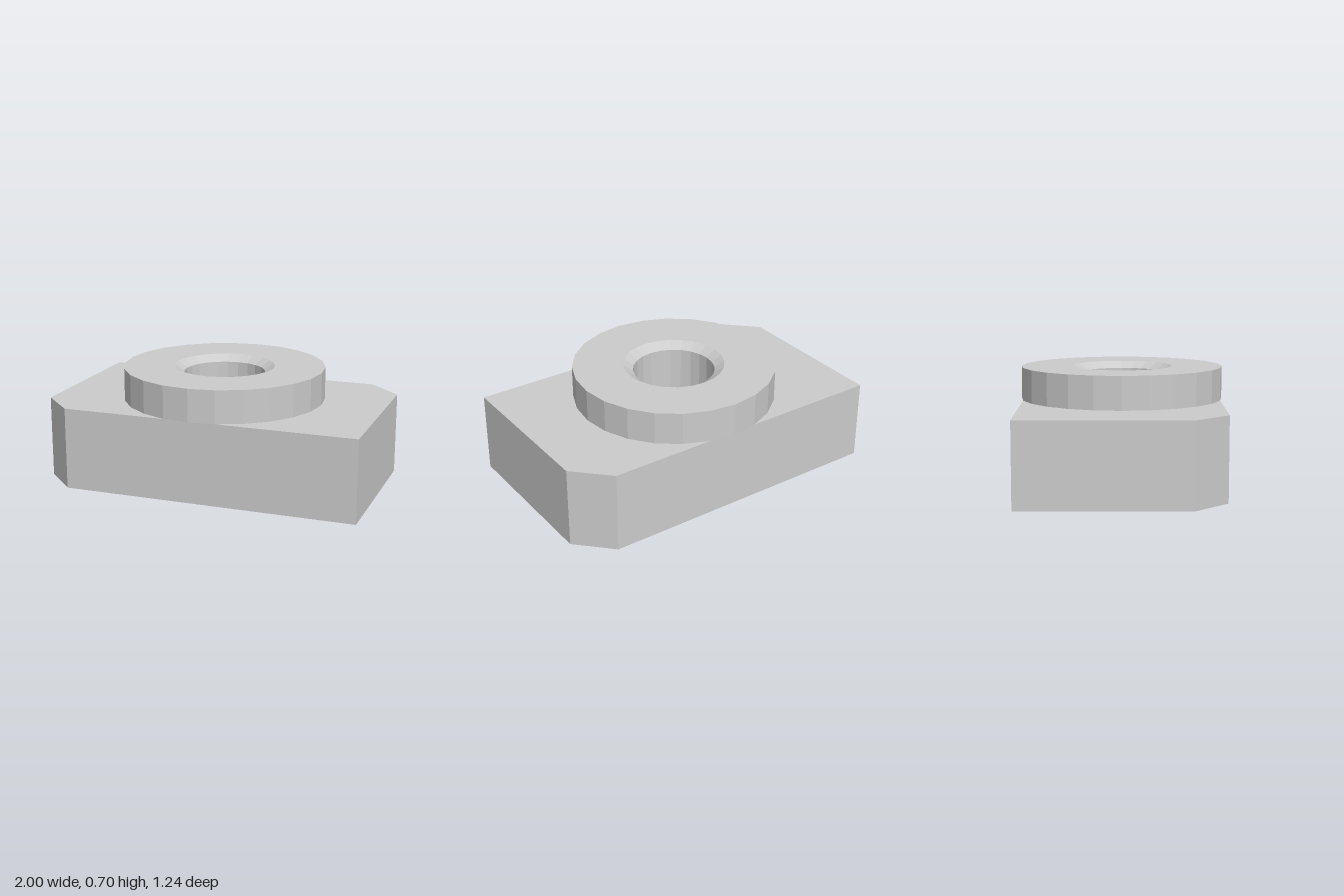
import * as THREE from 'three';

const SIDES = 24;

export function createModel() {
  const group = new THREE.Group();
  const material = new THREE.MeshStandardMaterial({ color: 0xcccccc, flatShading: true });
  const add = (name, geometry) => {
    const mesh = new THREE.Mesh(geometry, material);
    mesh.name = name;
    group.add(mesh);
  };
  const points = (list) => list.map(([x, y]) => new THREE.Vector2(x, y));

  // Base block: two opposite corners cut, with a round opening for the bore
  const outline = new THREE.Shape(points([
    [-0.8, -0.6], [1, -0.6], [1, 0.4], [0.8, 0.6], [-1, 0.6], [-1, -0.4],
  ]));
  const opening = [];
  for (let i = 0; i < SIDES; i++) {
    const a = (-i / SIDES) * Math.PI * 2;
    opening.push([0.31 * Math.cos(a), 0.31 * Math.sin(a)]);
  }
  outline.holes.push(new THREE.Path(points(opening)));
  const block = new THREE.ExtrudeGeometry(outline, { depth: 0.5, bevelEnabled: false });
  block.rotateX(-Math.PI / 2);
  add('baseBlock', block);

  // Raised collar, continuing into the through bore chamfered at both ends
  add('collarAndBore', new THREE.LatheGeometry(points([
    [0.31, 0.5], [0.62, 0.5], [0.62, 0.7], [0.31, 0.7],
    [0.25, 0.66], [0.25, 0.04], [0.31, 0],
  ]), SIDES));

  return group;
}
